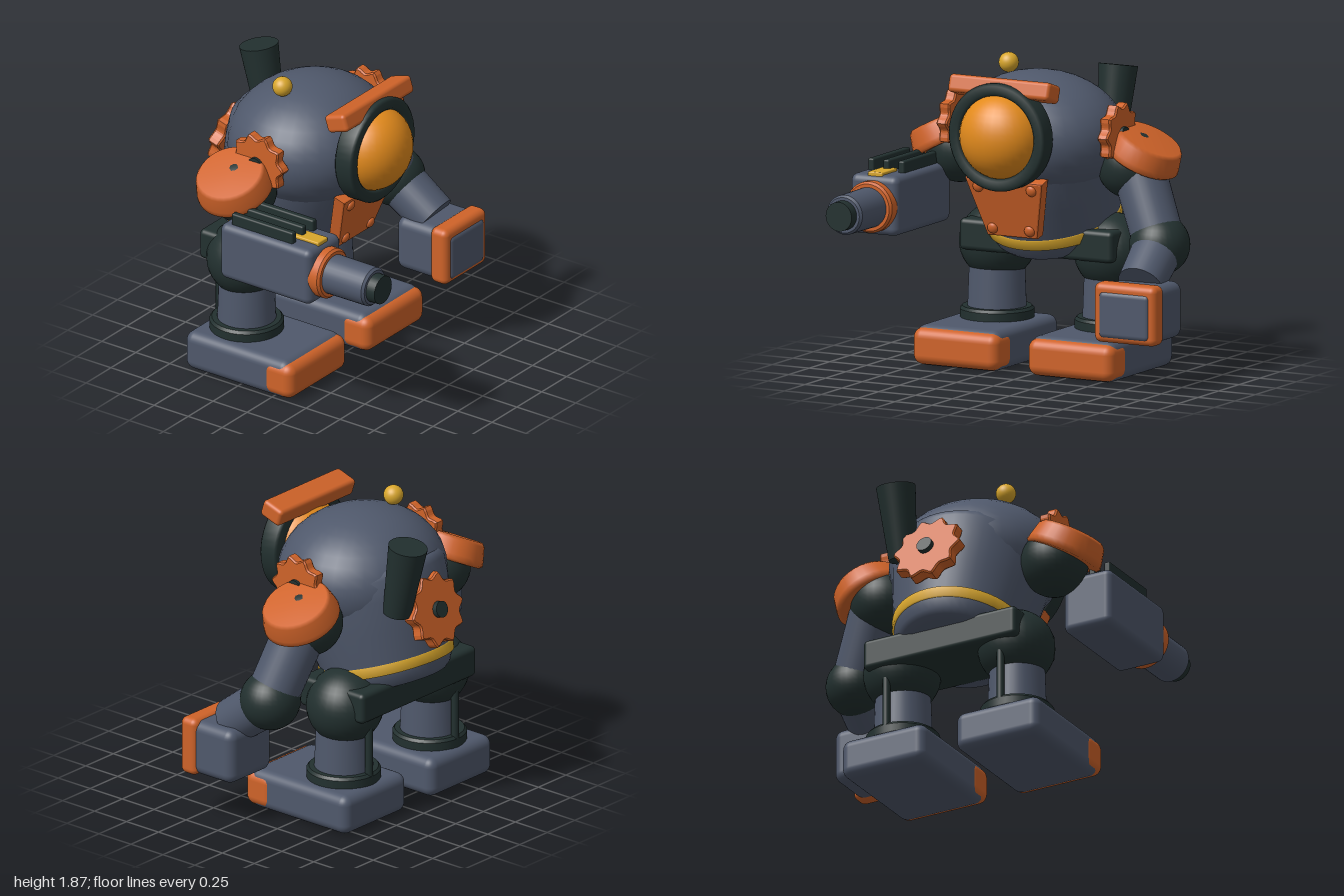
import * as THREE from 'three';
import { RoundedBoxGeometry } from 'three/addons/geometries/RoundedBoxGeometry.js';

const material = (name, color) => {
  const m = new THREE.MeshStandardMaterial({ color });
  m.name = name;
  return m;
};
const V = (x, y, z) => new THREE.Vector3(x, y, z);

// Body centre line
const CX = -0.08;

export function createModel() {
  const slate = material('slate', 0x4f586b);
  const orange = material('orange', 0xcf6329);
  const dark = material('dark', 0x22302f);
  const amber = material('amber', 0xe28a1c);
  const yellow = material('yellow', 0xd8a62c);

  const root = new THREE.Group();
  root.name = 'robot';

  const add = (parent, name, geometry, mat, x = 0, y = 0, z = 0) => {
    const mesh = new THREE.Mesh(geometry, mat);
    mesh.name = name;
    mesh.position.set(x, y, z);
    parent.add(mesh);
    return mesh;
  };
  const box = (parent, name, mat, size, pos, r = 0.04) =>
    add(parent, name, new RoundedBoxGeometry(...size, 4, r), mat, ...pos);
  const ball = (parent, name, mat, r, pos) =>
    add(parent, name, new THREE.SphereGeometry(r, 32, 20), mat, ...pos);
  // Cylinder running from point a to point b
  const limb = (parent, name, mat, a, b, ra, rb) => {
    const axis = b.clone().sub(a);
    const mesh = add(parent, name, new THREE.CylinderGeometry(rb, ra, axis.length(), 32), mat);
    mesh.position.copy(a).addScaledVector(axis, 0.5);
    mesh.quaternion.setFromUnitVectors(V(0, 1, 0), axis.normalize());
    return mesh;
  };
  const lathe = (points, segments = 48) =>
    new THREE.LatheGeometry(points.map(p => new THREE.Vector2(...p)), segments);

  // Scalloped gear facing z
  const gear = (radius, depth, teeth = 10) => {
    const points = [];
    const n = teeth * 8;
    for (let i = 0; i < n; i++) {
      const a = (i / n) * Math.PI * 2;
      const r = radius * Math.min(0.97, 1 - 0.2 * Math.abs(Math.sin(a * teeth / 2)));
      points.push(new THREE.Vector2(Math.cos(a) * r, Math.sin(a) * r));
    }
    const g = new THREE.ExtrudeGeometry(new THREE.Shape(points), {
      depth: depth - 0.02, bevelEnabled: true, bevelThickness: 0.01, bevelSize: 0.008, bevelSegments: 1,
    });
    return g.translate(0, 0, -(depth - 0.02) / 2);
  };

  // Torso, leaning forward
  const torso = new THREE.Group();
  torso.name = 'torso';
  torso.position.set(CX, 0.88, -0.39);
  torso.rotation.x = 0.3;
  root.add(torso);
  add(torso, 'barrelBody', lathe([
    [0, -0.13], [0.29, -0.13], [0.34, -0.12], [0.365, -0.095], [0.39, -0.04],
    [0.40, 0.02], [0.44, 0.22], [0.47, 0.42], [0.475, 0.54], [0.455, 0.585], [0.41, 0.605], [0, 0.605],
  ]), slate);
  add(torso, 'waistBand', lathe([
    [0.385, -0.035], [0.403, -0.032], [0.413, 0.03], [0.395, 0.035],
  ]), yellow);

  // Riveted chest plate
  const plateShape = new THREE.Shape();
  plateShape.moveTo(-0.16, -0.175);
  plateShape.lineTo(0.16, -0.175);
  plateShape.lineTo(0.25, 0.175);
  plateShape.lineTo(-0.25, 0.175);
  plateShape.closePath();
  add(torso, 'chestPlate', new THREE.ExtrudeGeometry(plateShape, {
    depth: 0.06, bevelEnabled: true, bevelThickness: 0.012, bevelSize: 0.012, bevelSegments: 2,
  }), orange, 0, 0.29, 0.435);
  for (const [rx, ry] of [[0.18, 0.425], [0.125, 0.155]]) {
    for (const s of [-1, 1]) {
      const rivet = ball(torso, 'rivet', orange, 0.034, [s * rx, ry, 0.507]);
      rivet.scale.z = 0.6;
    }
  }

  // Back gear with hub
  add(torso, 'backGear', gear(0.225, 0.08), orange, 0, 0.276, -0.47);
  limb(torso, 'backGearHub', dark, V(0, 0.276, -0.45), V(0, 0.276, -0.54), 0.05, 0.05);

  // Domed head, antenna and chimney
  ball(root, 'dome', slate, 1, [CX, 1.4, -0.2]).scale.set(0.53, 0.39, 0.485);
  ball(root, 'antennaBall', yellow, 0.06, [-0.31, 1.81, -0.245]);
  limb(root, 'chimney', dark, V(0.15, 1.31, -0.67), V(0.15, 1.755, -0.755), 0.085, 0.118);

  // Porthole ring, window and brow
  const ring = add(root, 'portholeRing', lathe([
    [0.25, -0.09], [0.31, -0.09], [0.325, -0.075], [0.325, 0.025], [0.31, 0.04],
    [0.265, 0.04], [0.25, 0.025], [0.25, -0.09],
  ]), dark, CX, 1.46, 0.29);
  ring.rotation.x = Math.PI / 2;
  ball(root, 'portholeGlass', amber, 1, [CX, 1.46, 0.26]).scale.set(0.257, 0.257, 0.22);
  box(root, 'brow', orange, [0.685, 0.11, 0.155], [CX, 1.74, 0.225], 0.025).rotation.x = -0.32;

  // Pelvis
  box(root, 'pelvis', dark, [1.04, 0.19, 0.5], [CX, 0.765, -0.4], 0.03);

  for (const s of [-1, 1]) {
    const side = s > 0 ? 'left' : 'right';
    const at = dx => CX + s * dx;

    // Leg and foot
    const leg = new THREE.Group();
    leg.name = side + 'Leg';
    root.add(leg);
    const lx = at(0.39);
    ball(leg, 'hip', dark, 0.232, [lx, 0.7, -0.4]);
    limb(leg, 'shin', slate, V(lx, 0.2, -0.39), V(lx, 0.66, -0.39), 0.18, 0.163);
    limb(leg, 'ankleRing', dark, V(lx, 0.22, -0.39), V(lx, 0.295, -0.39), 0.222, 0.222);
    limb(leg, 'ankleRingTop', dark, V(lx, 0.295, -0.39), V(lx, 0.312, -0.39), 0.222, 0.208);
    limb(leg, 'strut', dark, V(lx, 0.24, -0.588), V(lx, 0.74, -0.588), 0.024, 0.024);
    box(leg, 'foot', slate, [0.57, 0.245, 0.765], [lx, 0.1225, -0.268], 0.06);
    box(leg, 'toeCap', orange, [0.582, 0.222, 0.215], [lx, 0.12, 0.038], 0.06);

    // Shoulder gear, joint and cap
    const shoulder = new THREE.Group();
    shoulder.name = side + 'Shoulder';
    root.add(shoulder);
    add(shoulder, 'shoulderGear', gear(0.19, 0.072), orange, at(0.546), 1.45, -0.18).rotation.y = Math.PI / 2;
    limb(shoulder, 'gearHub', dark, V(at(0.5), 1.45, -0.18), V(at(0.6), 1.45, -0.18), 0.05, 0.05);
    ball(shoulder, 'shoulderJoint', dark, 0.205, [at(0.58), 1.26, -0.28]);
    const cap = add(shoulder, 'shoulderCap', lathe([
      [0, -0.075], [0.22, -0.075], [0.236, -0.06], [0.232, -0.03], [0.212, 0.055], [0.195, 0.075], [0, 0.075],
    ], 32), orange, at(0.675), 1.355, -0.285);
    cap.rotation.z = -s * 0.47;
  }

  // Left arm with fist
  const arm = new THREE.Group();
  arm.name = 'leftArm';
  root.add(arm);
  const elbow = V(0.745, 0.81, -0.19);
  limb(arm, 'upperArm', slate, V(0.54, 1.27, -0.28), elbow, 0.16, 0.155);
  ball(arm, 'elbow', dark, 0.182, elbow.toArray());
  limb(arm, 'forearm', slate, elbow, V(0.765, 0.61, 0.08), 0.15, 0.14);
  box(arm, 'fist', slate, [0.385, 0.34, 0.36], [0.78, 0.46, 0.1], 0.06);
  box(arm, 'fistFrame', orange, [0.42, 0.36, 0.125], [0.78, 0.465, 0.25], 0.04);
  box(arm, 'fistPlate', slate, [0.35, 0.29, 0.08], [0.78, 0.455, 0.283], 0.035);

  // Right arm cannon
  const cannon = new THREE.Group();
  cannon.name = 'cannon';
  root.add(cannon);
  const gx = -0.838, gy = 1.005;
  box(cannon, 'cannonBody', slate, [0.325, 0.36, 0.67], [gx, 1.01, 0.125], 0.045);
  const along = (name, mat, z0, z1, r0, r1) =>
    limb(cannon, name, mat, V(gx, gy, z0), V(gx, gy, z1), r0, r1);
  along('collar', orange, 0.43, 0.505, 0.155, 0.155);
  along('collarLip', orange, 0.505, 0.52, 0.155, 0.142);
  along('barrel', slate, 0.45, 0.805, 0.122, 0.12);
  along('barrelLip', slate, 0.805, 0.82, 0.12, 0.107);
  along('muzzle', dark, 0.8, 0.88, 0.09, 0.088);
  for (const dx of [-0.103, 0, 0.103]) {
    box(cannon, 'coolingFin', dark, [0.042, 0.1, 0.45], [gx + dx, 1.21, 0.08], 0.012);
  }
  box(cannon, 'sightPlate', yellow, [0.1, 0.04, 0.19], [gx, 1.187, 0.345], 0.008);

  return root;
}
